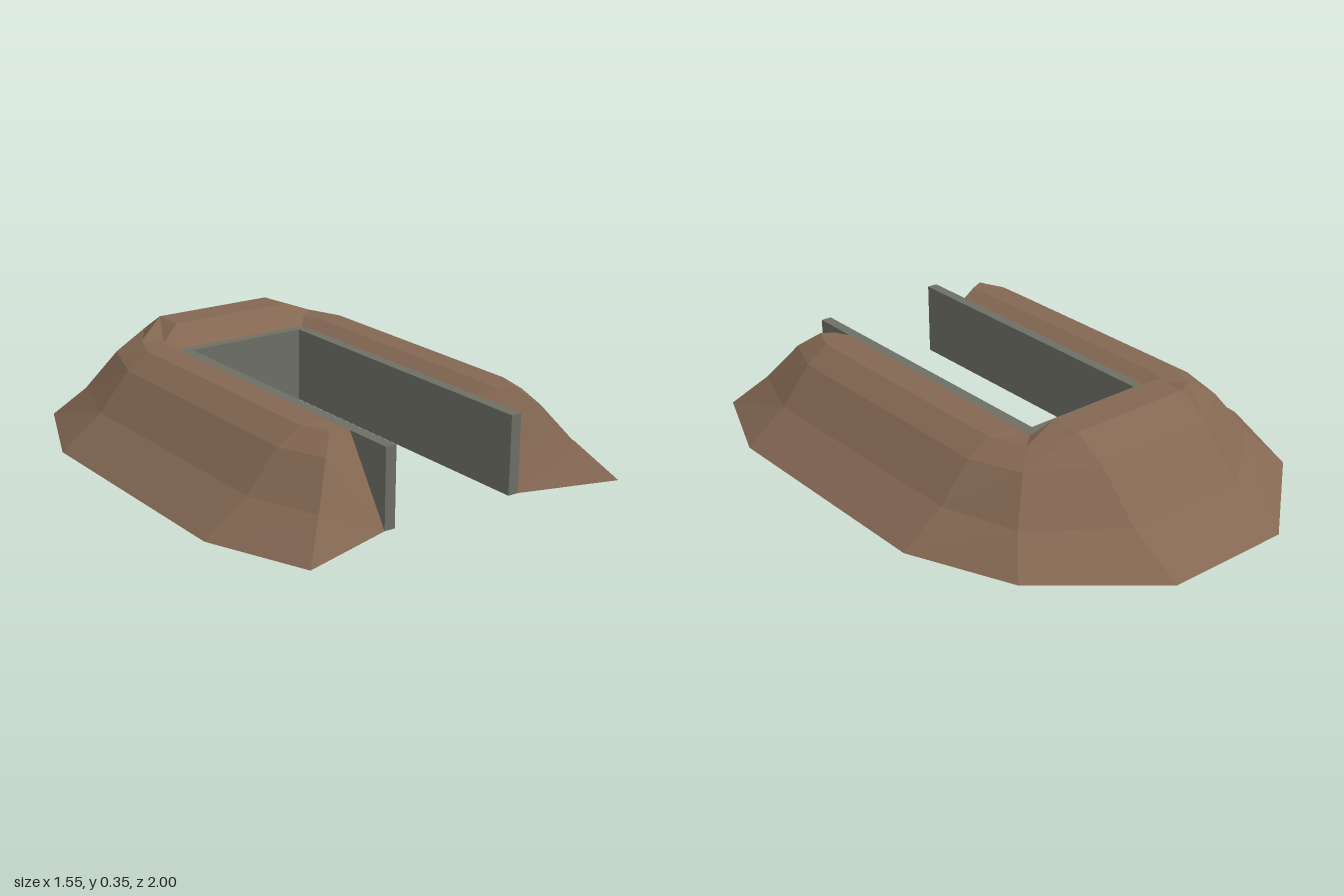
import * as THREE from 'three';

const soil = new THREE.MeshStandardMaterial({ color: 0x846853, flatShading: true, side: THREE.DoubleSide });
soil.name = 'soil brown';
const concrete = new THREE.MeshStandardMaterial({ color: 0x6d6e64 });
concrete.name = 'concrete grey';

const WALL_H = 0.278, WALL_IN = 0.235, WALL_OUT = 0.275, WALL_FRONT = 0.895, WALL_BACK = -0.335;

// Straight arm cross-section at depth z, from outer foot to retaining wall
const armSection = (z) => [[0.775, 0], [0.62, 0.115], [0.505, 0.25], [0.42, 0.305], [0.33, 0.305], [WALL_OUT, WALL_H]]
  .map(([x, y]) => [x, y, z]);

// Cross-sections of the left half, front tip to back
const half = [
  [[0.63, 0, 1], [0.53, 0.115, 0.9], [0.44, 0.25, 0.81], [0.38, 0.305, 0.745], [0.33, 0.3, 0.725], [WALL_OUT, WALL_H, 0.71]],
  armSection(0.645),
  armSection(-0.295),
  [[0.615, 0, -0.68], [0.53, 0.115, -0.575], [0.44, 0.26, -0.495], [0.37, 0.305, -0.43], [0.31, 0.3, -0.375], [WALL_OUT, WALL_H, WALL_BACK]],
  [[0, -1], [0.115, -0.8], [0.28, -0.645], [0.352, -0.53], [0.352, -0.41], [WALL_H, WALL_BACK]].map(([y, z]) => [WALL_IN, y, z]),
];

const mirror = ([x, y, z]) => [-x, y, z];

function makeBerm() {
  const sections = [...half, ...half.slice().reverse().map((s) => s.map(mirror))];
  const pos = [];
  const tri = (a, b, c) => pos.push(...a, ...b, ...c);

  // Sloped bank running round the bay, open underneath
  for (let i = 0; i < sections.length - 1; i++) {
    for (let j = 0; j < 5; j++) {
      const a = sections[i][j], b = sections[i + 1][j];
      const c = sections[i + 1][j + 1], d = sections[i][j + 1];
      tri(a, b, c);
      tri(a, c, d);
    }
  }

  // Sloped front ends, meeting the walls at ground level
  const foot = [WALL_OUT, 0, WALL_FRONT];
  for (let j = 0; j < 5; j++) {
    const a = half[0][j], b = half[0][j + 1];
    tri(foot, a, b);
    tri(mirror(foot), mirror(b), mirror(a));
  }

  const geo = new THREE.BufferGeometry();
  geo.setAttribute('position', new THREE.Float32BufferAttribute(pos, 3));
  geo.computeVertexNormals();
  const mesh = new THREE.Mesh(geo, soil);
  mesh.name = 'earthBerm';
  return mesh;
}

function makeWall(name, x0, x1, z0, z1) {
  const mesh = new THREE.Mesh(new THREE.BoxGeometry(x1 - x0, WALL_H, z1 - z0), concrete);
  mesh.position.set((x0 + x1) / 2, WALL_H / 2, (z0 + z1) / 2);
  mesh.name = name;
  return mesh;
}

export function createModel() {
  const group = new THREE.Group();
  group.name = 'earthworkBay';
  group.add(makeBerm());
  // Retaining walls lining the bay
  group.add(makeWall('leftWall', WALL_IN, WALL_OUT, WALL_BACK, WALL_FRONT));
  group.add(makeWall('rightWall', -WALL_OUT, -WALL_IN, WALL_BACK, WALL_FRONT));
  group.add(makeWall('backWall', -WALL_IN, WALL_IN, WALL_BACK, -0.298));
  return group;
}
